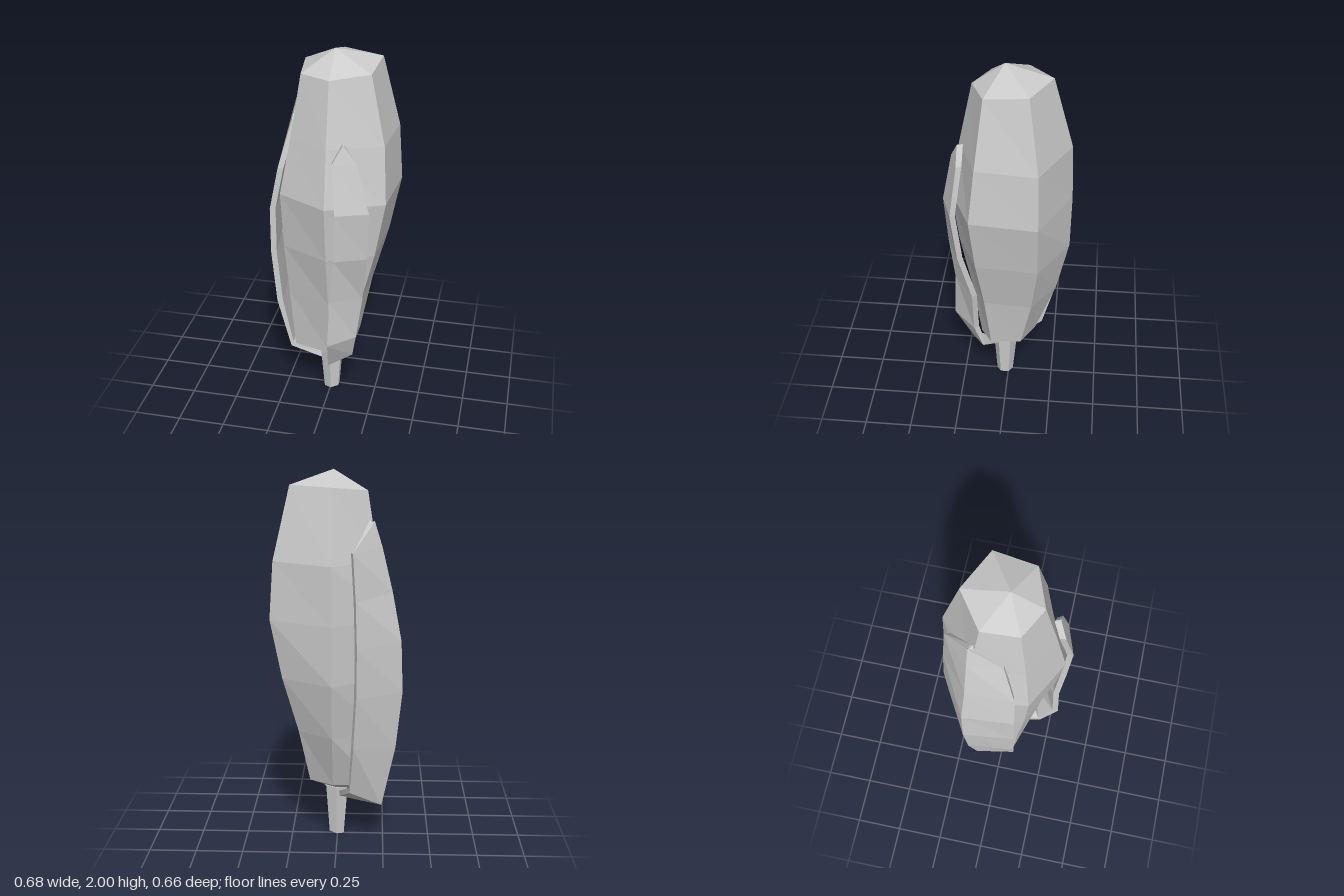
import * as THREE from 'three';

const material = new THREE.MeshStandardMaterial({ color: 0xcccccc, flatShading: true });

// Skin a stack of closed loops (top to bottom), with fan caps around the given or average centres
function loft(name, rows, topCentre, bottomCentre) {
  const pos = [];
  const tri = (...pts) => pts.forEach((p) => pos.push(...p));
  const mean = (row) => [0, 1, 2].map((k) => row.reduce((s, p) => s + p[k], 0) / row.length);
  const n = rows[0].length;
  const top = rows[0], bottom = rows[rows.length - 1];
  const tc = topCentre || mean(top), bc = bottomCentre || mean(bottom);
  for (let i = 0; i < n; i++) {
    const j = (i + 1) % n;
    tri(tc, top[j], top[i]);
    tri(bc, bottom[i], bottom[j]);
    for (let r = 0; r < rows.length - 1; r++) {
      const a = rows[r], b = rows[r + 1];
      tri(a[i], a[j], b[i]);
      tri(a[j], b[j], b[i]);
    }
  }
  const geometry = new THREE.BufferGeometry();
  geometry.setAttribute('position', new THREE.Float32BufferAttribute(pos, 3));
  geometry.computeVertexNormals();
  const mesh = new THREE.Mesh(geometry, material);
  mesh.name = name;
  return mesh;
}

// Six-sided cob section from its extents: height, left, right, back, front, tilt
function cobRing([y, xl, xr, zb, zf, tilt]) {
  return [
    [0.02, zb], [xr, 0.53 * zb], [0.91 * xr, 0.58 * zf],
    [0.02, zf], [0.88 * xl, 0.54 * zf], [xl, 0.42 * zb],
  ].map(([x, z]) => [x, y + tilt * (0.6 * x - z), z]);
}

// Thin leaf: each row of outer points gets an inner copy moved towards the cob;
// the last two rows run under the cob, so they are thickened upwards
function husk(name, rows, thickness) {
  const loops = rows.map((row, r) => {
    const under = r >= rows.length - 2;
    const inner = row.map(([x, y, z]) => {
      const d = Math.hypot(x - 0.02, z) || 1;
      const t = under ? thickness * 0.4 : thickness;
      return [x - (x - 0.02) / d * t, y + (under ? thickness * 0.8 : 0), z - z / d * t];
    });
    return [...row, ...inner.reverse()];
  });
  return loft(name, loops);
}

export function createModel() {
  const group = new THREE.Group();

  // Cob with a low pointed crown
  group.add(loft('cob', [
    [1.905, -0.155, 0.235, -0.22, 0.176, 0.11],
    [1.56, -0.21, 0.32, -0.32, 0.245, 0],
    [1.26, -0.27, 0.34, -0.33, 0.3, 0],
    [0.95, -0.26, 0.28, -0.325, 0.26, 0],
    [0.65, -0.24, 0.2, -0.26, 0.2, 0],
    [0.325, -0.215, 0.145, -0.15, 0.15, 0.15],
  ].map(cobRing), [0.02, 2, 0.015], [0, 0.26, 0.02]));

  // Tapered stalk
  const stalkRing = (y, r, x, z) => Array.from({ length: 6 }, (_, i) => {
    const a = i * Math.PI / 3;
    return [x + r * Math.sin(a), y + (y < 0.1 ? 0.15 * r * Math.sin(a) : 0), z - r * Math.cos(a)];
  });
  group.add(loft('stalk', [
    stalkRing(0.29, 0.068, 0.003, 0.018),
    stalkRing(0.007, 0.045, 0.005, 0.02),
  ]));

  // Large side husk: front edge, ridge, back edge
  group.add(husk('sideHusk', [
    [[-0.185, 1.75, -0.13], [-0.19, 1.76, -0.14], [-0.185, 1.75, -0.15]],
    [[-0.2, 1.62, 0.03], [-0.23, 1.63, -0.145], [-0.085, 1.62, -0.285]],
    [[-0.265, 1.37, 0.095], [-0.285, 1.4, -0.15], [-0.1, 1.38, -0.3]],
    [[-0.31, 1.14, 0.105], [-0.332, 1.15, -0.165], [-0.107, 1.14, -0.31]],
    [[-0.31, 0.88, 0.105], [-0.342, 0.88, -0.165], [-0.105, 0.88, -0.3]],
    [[-0.285, 0.58, 0.1], [-0.31, 0.57, -0.155], [-0.09, 0.6, -0.265]],
    [[-0.215, 0.28, 0.085], [-0.24, 0.23, -0.13], [-0.07, 0.32, -0.185]],
    [[-0.04, 0.2, 0.05], [-0.045, 0.21, 0.01], [-0.01, 0.235, -0.03]],
  ], 0.03));

  // Narrow front husk: one edge, then the other
  group.add(husk('frontHusk', [
    [[0.115, 1.59, 0.245], [0.105, 1.59, 0.245]],
    [[0.175, 1.5, 0.245], [0.055, 1.5, 0.283]],
    [[0.242, 1.25, 0.275], [0.08, 1.25, 0.33]],
    [[0.235, 0.98, 0.245], [0.07, 0.98, 0.312]],
    [[0.2, 0.7, 0.178], [0.045, 0.72, 0.288]],
    [[0.167, 0.45, 0.175], [0.035, 0.45, 0.297]],
    [[0.14, 0.3, 0.13], [0.02, 0.26, 0.2]],
    [[0.045, 0.24, 0.04], [0.005, 0.23, 0.07]],
  ], 0.032));

  return group;
}
